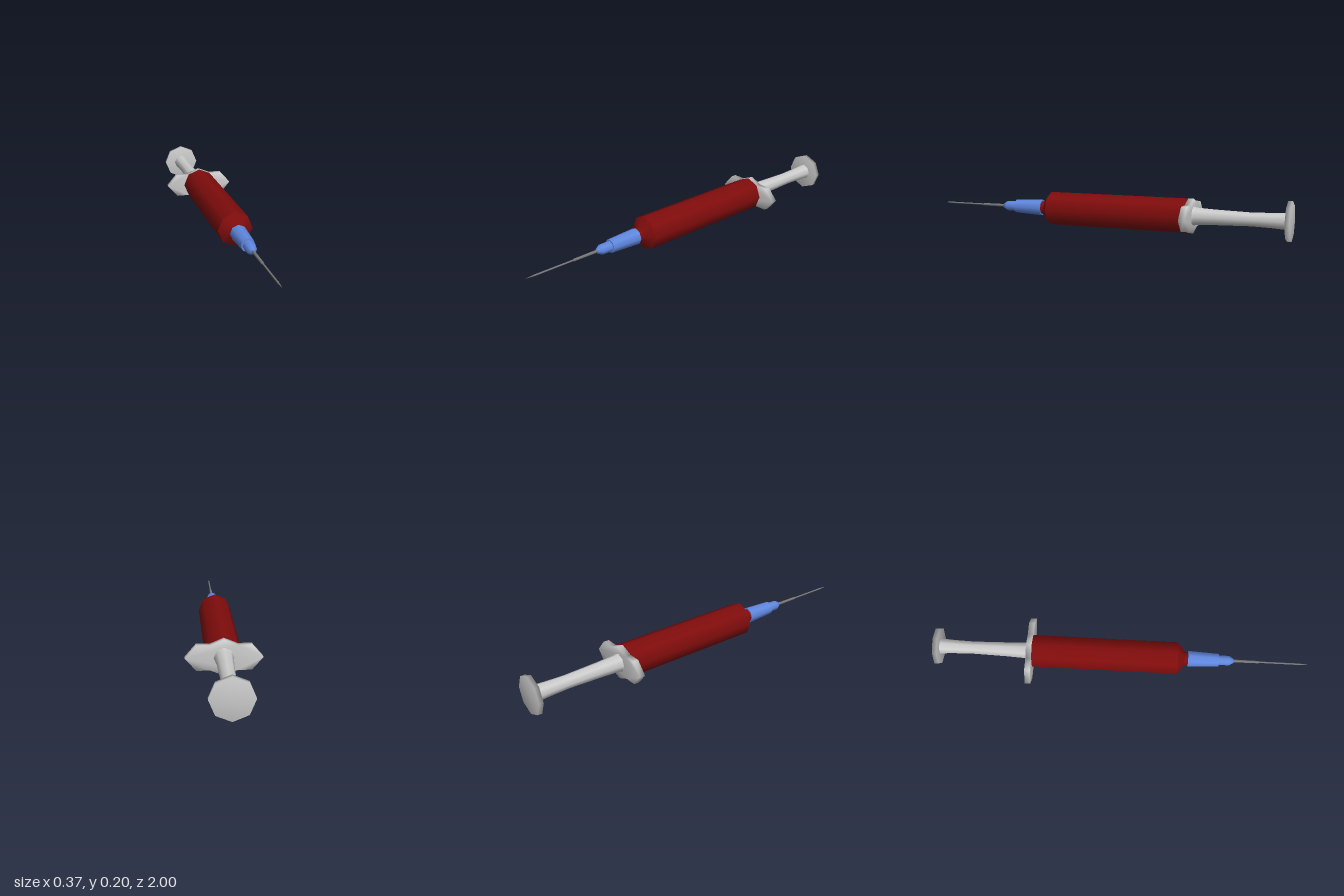
import * as THREE from 'three';
import { mergeVertices } from 'three/addons/utils/BufferGeometryUtils.js';

const AXIS_Y = 0.102;

function material(name, color) {
  const m = new THREE.MeshStandardMaterial({ color });
  m.name = name;
  return m;
}

// Eight-sided turned part along z; points are [radius, z] from back to front.
// A repeated point makes a sharp ring.
function turned(name, points, mat, sides = 8) {
  const geo = new THREE.LatheGeometry(points.map(([r, z]) => new THREE.Vector2(r, z)), sides);
  geo.rotateX(Math.PI / 2);
  const mesh = new THREE.Mesh(geo, mat);
  mesh.name = name;
  return mesh;
}

export function createModel() {
  const red = material('dark red', 0x800c0c);
  const grey = material('light grey', 0xcccccc);
  const blue = material('blue', 0x6088e0);
  const steel = material('needle grey', 0x777777);

  const model = new THREE.Group();
  model.name = 'syringe';

  // Barrel with tapered shoulder and short neck
  model.add(turned('barrel', [
    [0, -0.477], [0.09, -0.477], [0.09, -0.477], [0.09, 0.3], [0.09, 0.3],
    [0.038, 0.335], [0.038, 0.335], [0.038, 0.36],
  ], red));

  // Needle hub with a stepped nose
  model.add(turned('needleHub', [
    [0, 0.355], [0.044, 0.355], [0.044, 0.355], [0.036, 0.52], [0.036, 0.52],
    [0.028, 0.52], [0.028, 0.52], [0.027, 0.575], [0.012, 0.6], [0, 0.6],
  ], blue));

  // Needle, thinner towards the point
  model.add(turned('needle', [
    [0.008, 0.59], [0.007, 0.735], [0.007, 0.735], [0.0045, 0.737],
    [0.0045, 0.737], [0.0045, 0.95], [0, 1],
  ], steel));

  // Plunger rod with a waist
  model.add(turned('plungerRod', [
    [0.052, -0.5], [0.045, -0.52], [0.04, -0.62], [0.035, -0.8], [0.038, -0.9], [0.043, -0.98],
  ].reverse(), grey));

  // Thumb rest
  model.add(turned('thumbRest', [
    [0, -1], [0.101, -1], [0.101, -0.977], [0, -0.977],
  ], grey));

  // Finger flange: octagonal middle with a pointed wing on each side
  const half = [[0, -0.09], [0.067, -0.063], [0.133, -0.063], [0.187, 0], [0.133, 0.063], [0.067, 0.063]];
  const outline = [...half, ...half.map(([x, y]) => [-x, -y])];
  const shape = new THREE.Shape(outline.map(([x, y]) => new THREE.Vector2(x, y)));
  let flangeGeo = new THREE.ExtrudeGeometry(shape, { depth: 0.03, bevelEnabled: false });
  flangeGeo.deleteAttribute('normal');
  flangeGeo.deleteAttribute('uv');
  flangeGeo.clearGroups();
  flangeGeo = mergeVertices(flangeGeo);
  flangeGeo.computeVertexNormals();
  const flange = new THREE.Mesh(flangeGeo, grey);
  flange.name = 'fingerFlange';
  flange.position.z = -0.506;
  model.add(flange);

  model.children.forEach((part) => { part.position.y = AXIS_Y; });
  return model;
}
